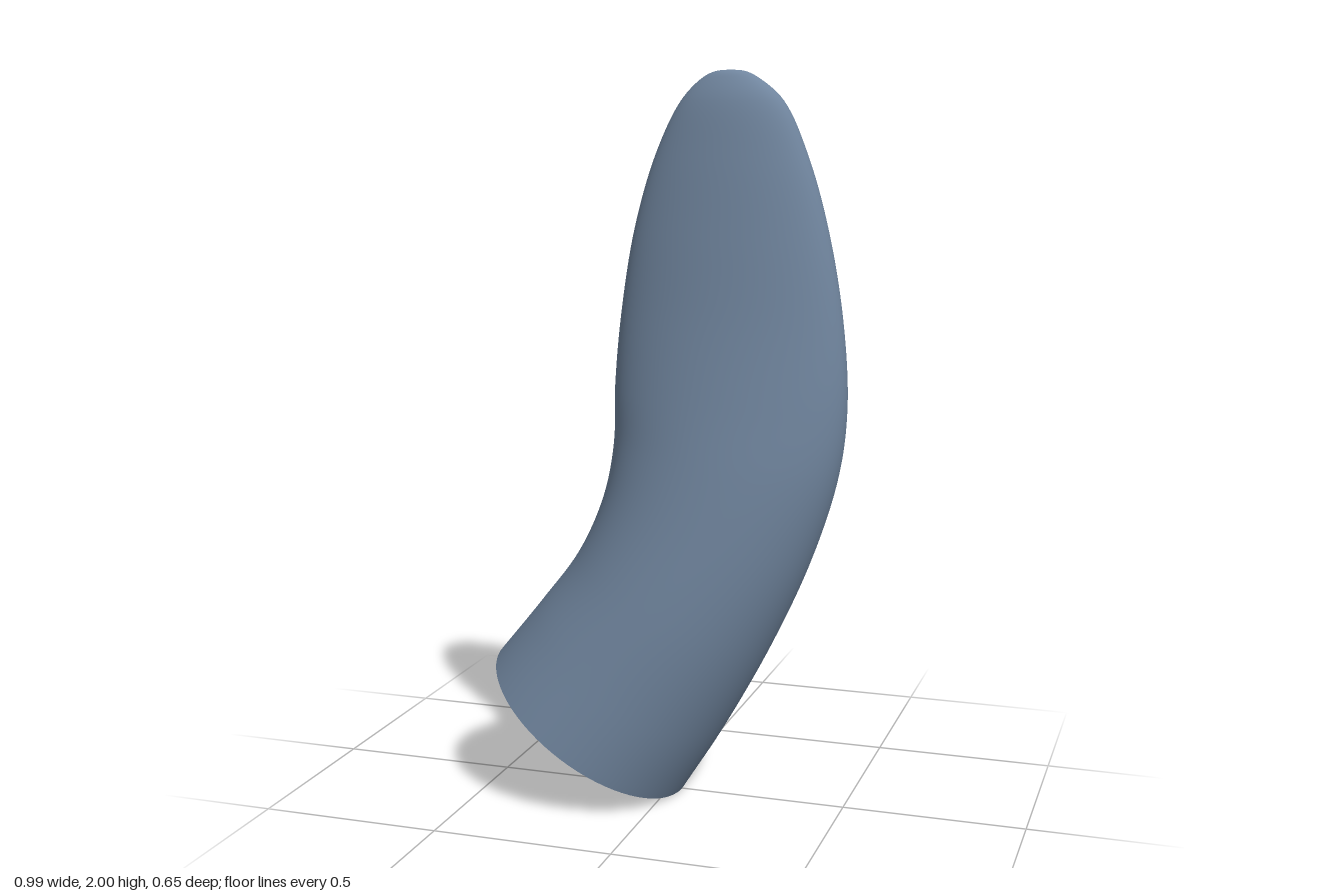
import * as THREE from 'three';

// Cross-sections from base to tip: inner edge x, y, outer edge x, y, half depth
const SECTIONS = [
  [-0.495, 0.38, 0.035, 0.005, 0.325],
  [-0.37, 0.535, 0.15, 0.19, 0.293],
  [-0.255, 0.69, 0.29, 0.45, 0.257],
  [-0.185, 0.85, 0.4, 0.7, 0.22],
  [-0.157, 1.0, 0.47, 0.93, 0.187],
  [-0.155, 1.15, 0.491, 1.11, 0.158],
  [-0.138, 1.35, 0.48, 1.32, 0.127],
  [-0.1, 1.58, 0.44, 1.56, 0.101],
  [-0.04, 1.78, 0.38, 1.77, 0.077],
  [0.03, 1.92, 0.31, 1.92, 0.053],
  [0.09, 1.98, 0.24, 1.98, 0.028],
  [0.125, 1.996, 0.205, 1.996, 0.015],
  [0.165, 2.0, 0.165, 2.0, 0],
];
const RINGS = 96, SIDES = 72;

const curveOf = (pick) => new THREE.CatmullRomCurve3(SECTIONS.map(pick), false, 'centripetal');

function makeGeometry(positions, index) {
  const geometry = new THREE.BufferGeometry();
  geometry.setAttribute('position', new THREE.Float32BufferAttribute(positions, 3));
  geometry.setIndex(index);
  geometry.computeVertexNormals();
  return geometry;
}

export function createModel() {
  const group = new THREE.Group();
  group.name = 'curvedHorn';
  const slateBlue = new THREE.MeshStandardMaterial({ color: 0x70859e });
  slateBlue.name = 'slateBlue';

  // Edge curves carry the half depth in z, so each pair of points gives one ellipse
  const inner = curveOf((s) => new THREE.Vector3(s[0], s[1], s[4]));
  const outer = curveOf((s) => new THREE.Vector3(s[2], s[3], s[4]));
  const positions = [], index = [];
  for (let i = 0; i <= RINGS; i++) {
    const a = inner.getPoint(i / RINGS), b = outer.getPoint(i / RINGS);
    const depth = Math.max(0, (a.z + b.z) / 2);
    for (let j = 0; j < SIDES; j++) {
      const angle = (j / SIDES) * Math.PI * 2;
      const t = (1 + Math.cos(angle)) / 2;
      positions.push(a.x + (b.x - a.x) * t, a.y + (b.y - a.y) * t, depth * Math.sin(angle));
      if (i === RINGS) continue;
      const k = (j + 1) % SIDES, p = i * SIDES, q = p + SIDES;
      index.push(p + j, q + j, p + k, q + j, q + k, p + k);
    }
  }
  const body = new THREE.Mesh(makeGeometry(positions, index), slateBlue);
  body.name = 'hornBody';
  group.add(body);

  // Flat slanted base
  const rim = positions.slice(0, SIDES * 3);
  const [x0, y0, x1, y1] = SECTIONS[0];
  rim.push((x0 + x1) / 2, (y0 + y1) / 2, 0);
  const fan = [];
  for (let j = 0; j < SIDES; j++) fan.push(SIDES, j, (j + 1) % SIDES);
  const base = new THREE.Mesh(makeGeometry(rim, fan), slateBlue);
  base.name = 'hornBase';
  group.add(base);

  return group;
}
